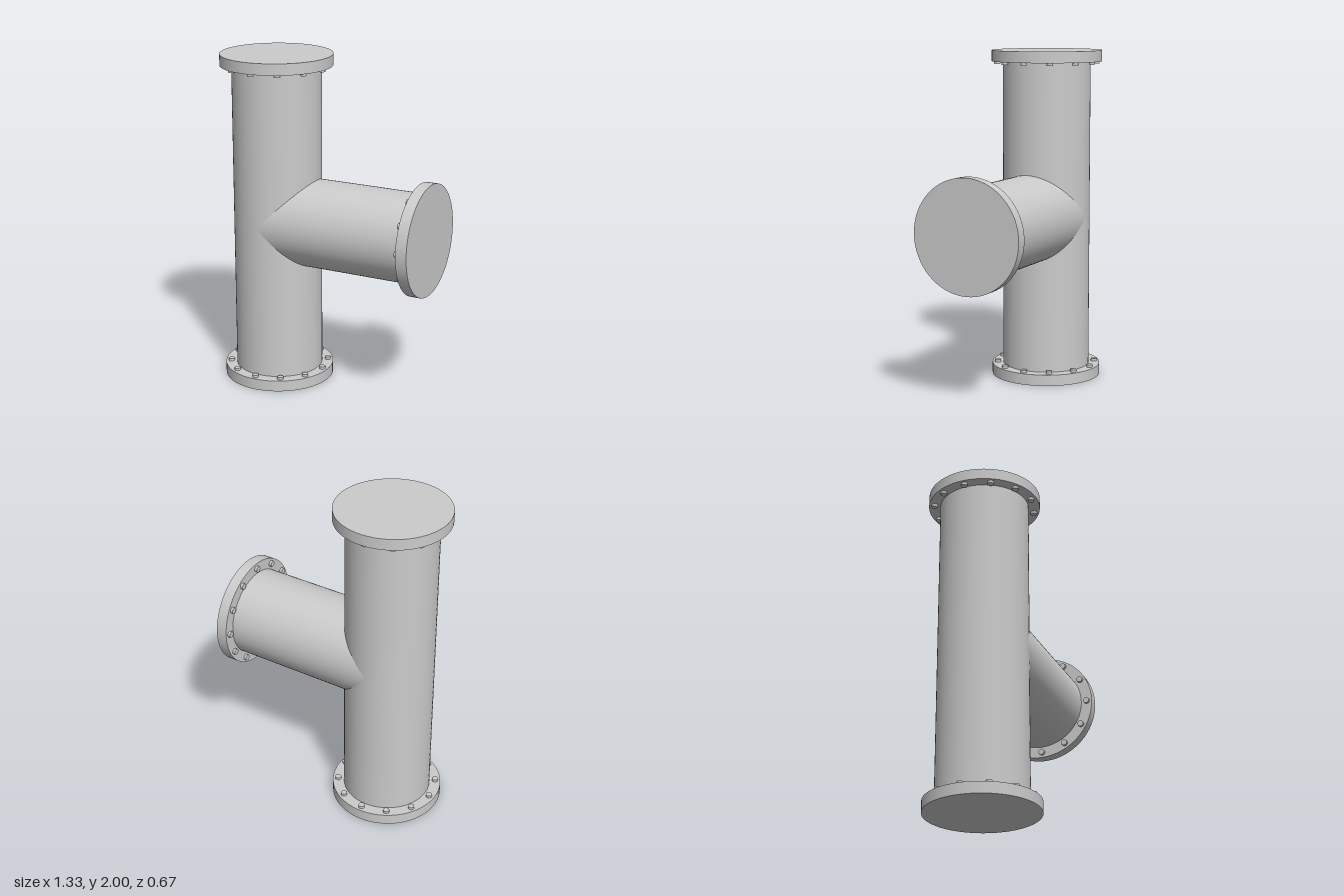
import * as THREE from 'three';

const PIPE_R = 0.265, FLANGE_R = 0.333, FLANGE_T = 0.067;
const BOLT_R = 0.019, BOLT_H = 0.016, BOLT_CIRCLE = 0.3, BOLTS = 12;

export function createModel() {
  const material = new THREE.MeshStandardMaterial({ color: 0xcccccc });
  const add = (parent, name, geometry, y = 0) => {
    const mesh = new THREE.Mesh(geometry, material);
    mesh.name = name;
    mesh.position.y = y;
    parent.add(mesh);
    return mesh;
  };

  // Open pipe from the junction (y = 0) to its flange; seam(x) mitres the inner end
  function pipeGeometry(seam) {
    const end = 1 - FLANGE_T;
    const geometry = new THREE.CylinderGeometry(PIPE_R, PIPE_R, end, 64, 1, true);
    const p = geometry.attributes.position;
    for (let i = 0; i < p.count; i++) p.setY(i, p.getY(i) > 0 ? end : seam(p.getX(i)));
    return geometry;
  }

  // One arm of the tee: mitred pipe, blind flange and ring of bolts
  function makeArm(name, seam) {
    const arm = new THREE.Group();
    arm.name = name;
    add(arm, 'pipe', pipeGeometry(seam));
    add(arm, 'flange', new THREE.CylinderGeometry(FLANGE_R, FLANGE_R, FLANGE_T, 64), 1 - FLANGE_T / 2);
    const boltGeometry = new THREE.CylinderGeometry(BOLT_R, BOLT_R, BOLT_H, 12);
    for (let i = 0; i < BOLTS; i++) {
      const a = (i / BOLTS) * Math.PI * 2;
      const bolt = add(arm, 'bolt', boltGeometry, 1 - FLANGE_T - BOLT_H / 2);
      bolt.position.x = BOLT_CIRCLE * Math.cos(a);
      bolt.position.z = BOLT_CIRCLE * Math.sin(a);
    }
    return arm;
  }

  // Upright arms give way to the branch on their +x half
  const upper = makeArm('upperArm', (x) => Math.max(0, x));
  const lower = makeArm('lowerArm', (x) => Math.max(0, x));
  lower.rotation.x = Math.PI;
  const branch = makeArm('sideBranch', (x) => Math.abs(x));
  branch.rotation.z = -Math.PI / 2;

  const model = new THREE.Group();
  model.name = 'pipeTee';
  for (const arm of [upper, lower, branch]) {
    arm.position.set(-0.333, 1, 0);
    model.add(arm);
  }
  return model;
}
